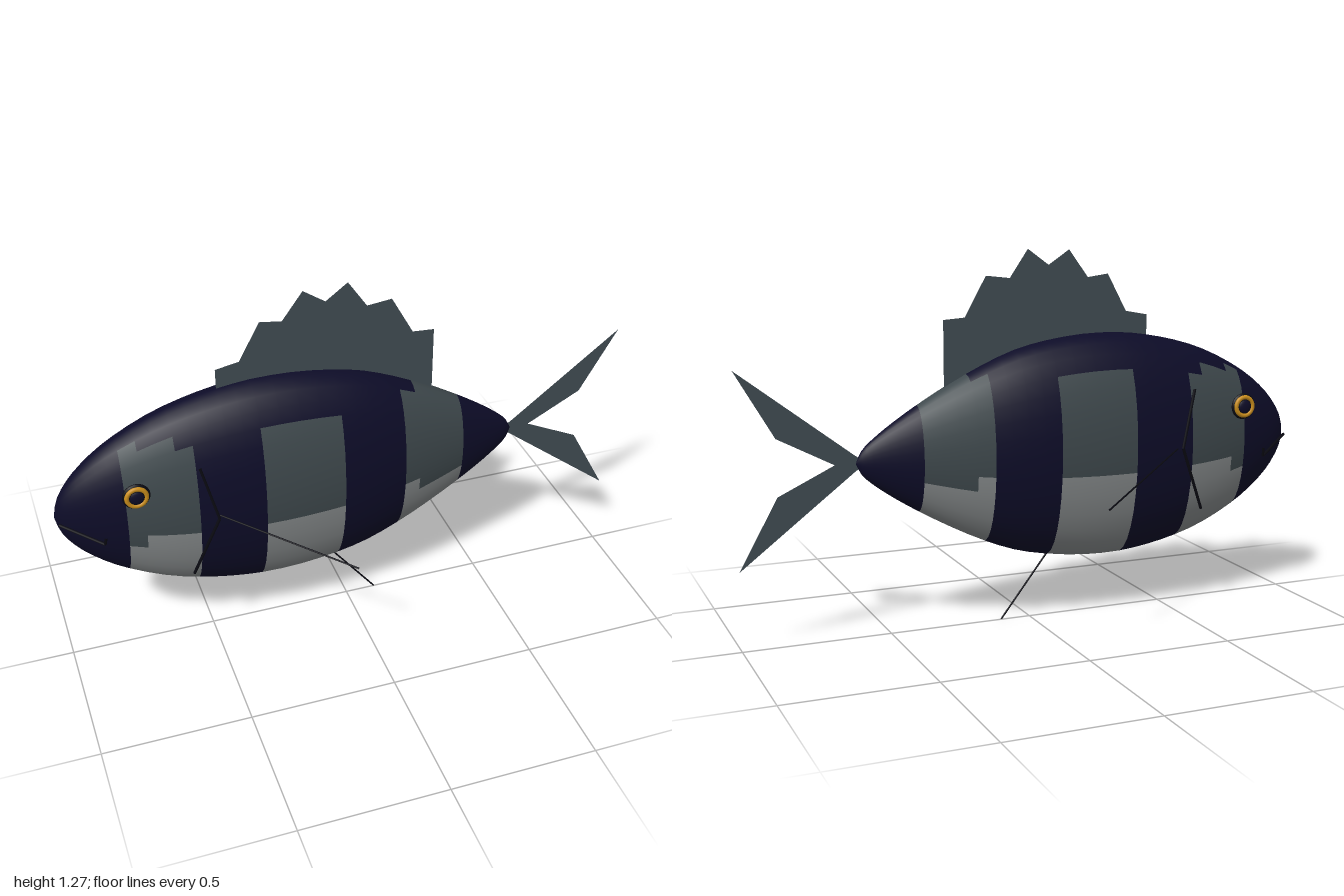
import * as THREE from 'three';

const mat = (name, color, side = THREE.FrontSide) => {
  const m = new THREE.MeshStandardMaterial({ color, side });
  m.name = name;
  return m;
};

export function createModel() {
  const navy = mat('navy', 0x0d0c28);
  const grey = mat('slate grey', 0x3e484c);
  const pale = mat('pale belly', 0x85898a);
  const finGrey = mat('fin grey', 0x414c53, THREE.DoubleSide);
  const black = mat('line black', 0x0a0a12);
  const gold = mat('eye gold', 0xc98d1c);

  const fish = new THREE.Group();
  fish.name = 'fish';
  const add = (name, geometry, material, parent = fish) => {
    const mesh = new THREE.Mesh(geometry, material);
    mesh.name = name;
    parent.add(mesh);
    return mesh;
  };
  const vec = p => new THREE.Vector3(...p);

  // Body: elliptical rings along x, coloured cell by cell in bands
  const midY = 0.59, flat = 0.432, sides = 32;
  const profile = new THREE.CatmullRomCurve3([
    [-1, 0.001], [-0.985, 0.06], [-0.95, 0.118], [-0.9, 0.172], [-0.8, 0.247], [-0.6, 0.338],
    [-0.3, 0.39], [0, 0.36], [0.17, 0.3], [0.4, 0.178], [0.54, 0.085], [0.59, 0.04], [0.61, 0.001],
  ].map(([x, r]) => new THREE.Vector3(x, r, 0)), false, 'centripetal').getPoints(600);
  const halfHeight = x => {
    const i = Math.max(1, profile.findIndex(p => p.x >= x - 1e-6));
    const a = profile[i - 1], b = profile[i];
    return THREE.MathUtils.clamp(a.y + (b.y - a.y) * (x - a.x) / (b.x - a.x), 0.001, 0.39);
  };
  const edges = [-1, -0.78, -0.55, -0.33, -0.055, 0.17, 0.4, 0.61];
  const rings = [];
  for (let b = 0; b < 7; b++) {
    const n = b === 0 || b === 6 ? 10 : 4;
    for (let k = 0; k < n; k++) {
      let t = k / n;
      if (b === 0) t = t * t;                 // finer rings at the nose
      if (b === 6) t = 1 - (1 - t) * (1 - t); // and at the tail root
      rings.push({ x: edges[b] + (edges[b + 1] - edges[b]) * t, band: b });
    }
  }
  rings.push({ x: 0.61, band: 6 });

  const pos = [], buckets = [[], [], []];
  for (const { x } of rings) {
    const h = halfHeight(x);
    for (let j = 0; j < sides; j++) {
      const a = j / sides * Math.PI * 2;
      pos.push(x, midY + h * Math.sin(a), h * flat * Math.cos(a));
    }
  }
  for (let i = 0; i < rings.length - 1; i++) {
    for (let j = 0; j < sides; j++) {
      const k = (j + 1) % sides;
      const a = i * sides + j, b = a + sides, c = i * sides + k, d = c + sides;
      const y = (pos[a * 3 + 1] + pos[b * 3 + 1] + pos[c * 3 + 1] + pos[d * 3 + 1]) / 4;
      const colour = rings[i].band % 2 === 0 || y > 0.85 ? 0 : y > 0.508 ? 1 : 2;
      buckets[colour].push(a, b, c, b, d, c);
    }
  }
  const bodyGeo = new THREE.BufferGeometry();
  bodyGeo.setAttribute('position', new THREE.Float32BufferAttribute(pos, 3));
  bodyGeo.setIndex(buckets.flat());
  let start = 0;
  buckets.forEach((f, i) => {
    bodyGeo.addGroup(start, f.length, i);
    start += f.length;
  });
  bodyGeo.computeVertexNormals();
  add('body', bodyGeo, [navy, grey, pale]);

  // Flat fins on the centre plane
  const sheet = (name, pts) =>
    add(name, new THREE.ShapeGeometry(new THREE.Shape(pts.map(p => new THREE.Vector2(...p)))), finGrey);
  sheet('dorsalFin', [
    [-0.44, 0.9], [0.305, 0.78], [0.305, 1.045], [0.23, 1.05], [0.155, 1.185], [0.07, 1.175],
    [0.005, 1.27], [-0.07, 1.215], [-0.145, 1.265], [-0.215, 1.17], [-0.29, 1.18],
    [-0.36, 1.05], [-0.44, 1.035],
  ]);
  sheet('tailFin', [
    [0.57, 0.59], [0.61, 0.565], [1, 0.265], [0.87, 0.5], [0.68, 0.59], [0.87, 0.69], [1, 0.915], [0.61, 0.615],
  ]);

  // Thin rods joined end to end
  const rods = (name, pts, r, material) => {
    const path = new THREE.CurvePath();
    for (let i = 1; i < pts.length; i++) path.add(new THREE.LineCurve3(vec(pts[i - 1]), vec(pts[i])));
    const group = new THREE.Group();
    group.name = name;
    path.curves.forEach(c => add(name + 'Segment', new THREE.TubeGeometry(c, 1, r, 6), material, group));
    fish.add(group);
  };
  rods('pelvicFin', [[-0.08, 0.24, 0], [0.105, 0.002, 0]], 0.003, black);

  // Paired details
  for (const [side, s] of [['left', 1], ['right', -1]]) {
    const mirrored = pts => pts.map(([x, y, z]) => [x, y, z * s]);
    rods(side + 'PectoralFin', mirrored([[-0.49, 0.585, 0.155], [-0.1, 0.46, 0.418]]), 0.003, black);
    rods(side + 'GillLine', mirrored([[-0.545, 0.79, 0.165], [-0.495, 0.59, 0.183], [-0.585, 0.365, 0.154]]), 0.005, black);
    rods(side + 'Mouth', mirrored([[-0.99, 0.58, 0.035], [-0.86, 0.522, 0.107], [-0.855, 0.555, 0.118]]), 0.005, black);

    const eye = new THREE.Group();
    eye.name = side + 'Eye';
    eye.position.set(-0.75, 0.715, 0.145 * s);
    const ball = add('eyeball', new THREE.SphereGeometry(0.046, 24, 12), black, eye);
    ball.scale.z = 0.3;
    const iris = add('iris', new THREE.TorusGeometry(0.032, 0.008, 10, 28), gold, eye);
    iris.position.z = 0.008 * s;
    const pupil = add('pupil', new THREE.SphereGeometry(0.026, 20, 10), navy, eye);
    pupil.scale.z = 0.4;
    pupil.position.z = 0.007 * s;
    fish.add(eye);
  }
  return fish;
}
